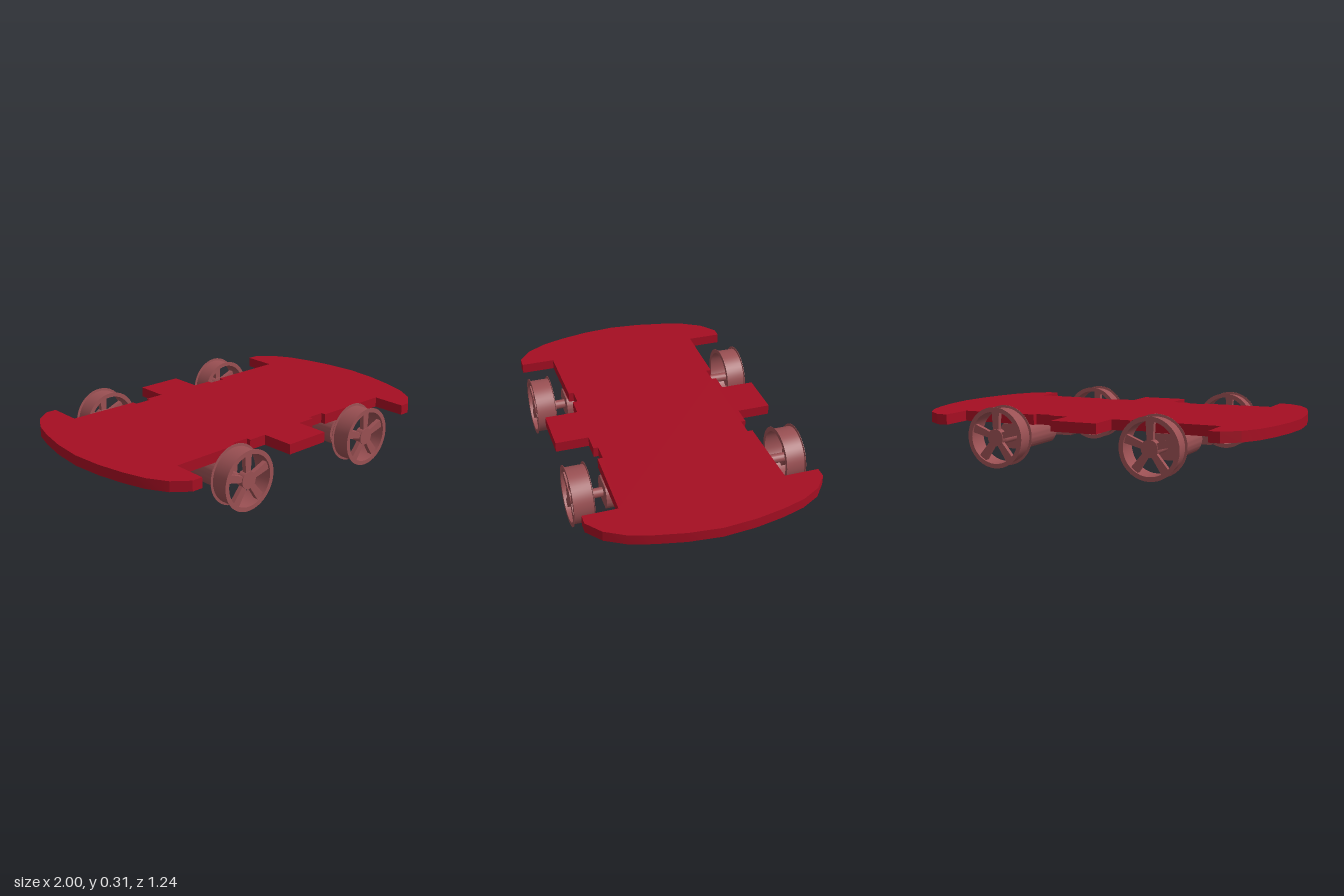
import * as THREE from 'three';
import { toCreasedNormals } from 'three/addons/utils/BufferGeometryUtils.js';

const red = new THREE.MeshStandardMaterial({ color: 0xa50e22 });
const rose = new THREE.MeshStandardMaterial({ color: 0x9a5053 });
const roseThin = new THREE.MeshStandardMaterial({ color: 0x9a5053, side: THREE.DoubleSide });

function add(parent, name, geometry, material, x = 0, y = 0, z = 0) {
  const mesh = new THREE.Mesh(geometry, material);
  mesh.name = name;
  mesh.position.set(x, y, z);
  parent.add(mesh);
  return mesh;
}

// Flat base plate: one quarter of the outline, mirrored to all four
function basePlate() {
  const quarter = [
    [0.998, 0], [0.983, 0.17], [0.952, 0.32], [0.915, 0.44], [0.857, 0.54], [0.775, 0.605],
    [0.718, 0.605], [0.718, 0.425], [0.32, 0.42], [0.32, 0.393], [0.227, 0.393],
    [0.227, 0.418], [0.125, 0.418], [0.125, 0.594],
  ];
  const points = [];
  for (const [sx, sz] of [[1, 1], [-1, 1], [-1, -1], [1, -1]]) {
    const part = quarter.map(([x, z]) =>
      new THREE.Vector2(sx * x - (x < 0.5 ? 0.015 : 0), sz * z)); // tabs and notches sit slightly off centre
    if (sx * sz < 0) part.reverse().pop();
    else if (sx < 0) part.shift(), part.unshift(new THREE.Vector2(-0.998, 0));
    points.push(...part);
  }
  const geometry = new THREE.ExtrudeGeometry(new THREE.Shape(points), { depth: 0.054, bevelEnabled: false });
  return toCreasedNormals(geometry.rotateX(Math.PI / 2), 0.35);
}

// Motor can: a round body cut by flats above and below
function motorBody() {
  const r = 0.086, a = Math.asin(0.065 / r);
  const shape = new THREE.Shape();
  shape.absarc(0, 0, r, -a, a, false);
  shape.absarc(0, 0, r, Math.PI - a, Math.PI + a, false);
  shape.closePath();
  const geometry = new THREE.ExtrudeGeometry(shape, { depth: 0.32, bevelEnabled: false, curveSegments: 10 });
  return toCreasedNormals(geometry, 0.9);
}

// Open rim barrel with a thin lip at both ends, turned about z
function rimBarrel() {
  const profile = [
    [0.134, 0], [0.157, 0], [0.157, 0.002], [0.144, 0.003], [0.144, 0.103],
    [0.157, 0.104], [0.157, 0.106], [0.134, 0.106], [0.134, 0],
  ].map(([r, h]) => new THREE.Vector2(r, h));
  return toCreasedNormals(new THREE.LatheGeometry(profile, 40).rotateX(Math.PI / 2), 0.6);
}

// Spoke that widens slightly towards the rim
function spokeShape() {
  const shape = new THREE.Shape([[-0.015, 0.03], [0.015, 0.03], [0.022, 0.138], [-0.022, 0.138]]
    .map(([x, y]) => new THREE.Vector2(x, y)));
  return new THREE.ExtrudeGeometry(shape, { depth: 0.025, bevelEnabled: false });
}

export function createModel() {
  const model = new THREE.Group();
  model.name = 'wheeledChassis';
  model.rotation.y = 0.018;
  add(model, 'basePlate', basePlate(), red, 0, 0.262, 0);

  const motor = motorBody();
  const rim = rimBarrel();
  const spoke = spokeShape();
  const axle = new THREE.CylinderGeometry(0.025, 0.025, 0.17, 20).rotateX(Math.PI / 2);
  const hub = new THREE.CylinderGeometry(0.044, 0.044, 0.04, 24).rotateX(Math.PI / 2);

  for (const sx of [-1, 1]) {
    for (const front of [true, false]) {
      // Drive unit: motor, axle and five-spoke wheel
      const unit = new THREE.Group();
      unit.name = (front ? 'front' : 'back') + (sx > 0 ? 'Left' : 'Right') + 'DriveUnit';
      unit.position.x = sx * 0.425;
      unit.rotation.y = front ? 0 : Math.PI;
      model.add(unit);
      add(unit, 'motor', motor, rose, 0, 0.143, 0.11);
      add(unit, 'axle', axle, rose, 0, 0.143, 0.505);

      const wheel = new THREE.Group();
      wheel.name = 'wheel';
      wheel.position.set(0, 0.158, 0.505);
      unit.add(wheel);
      add(wheel, 'rim', rim, roseThin);
      add(wheel, 'hub', hub, rose, 0, 0, 0.08);
      for (let i = 0; i < 5; i++) {
        add(wheel, 'spoke', spoke, rose, 0, 0, 0.07).rotation.z = (i * 2 * Math.PI) / 5;
      }
    }
  }

  const root = new THREE.Group();
  root.name = 'chassis';
  root.add(model);
  return root;
}
